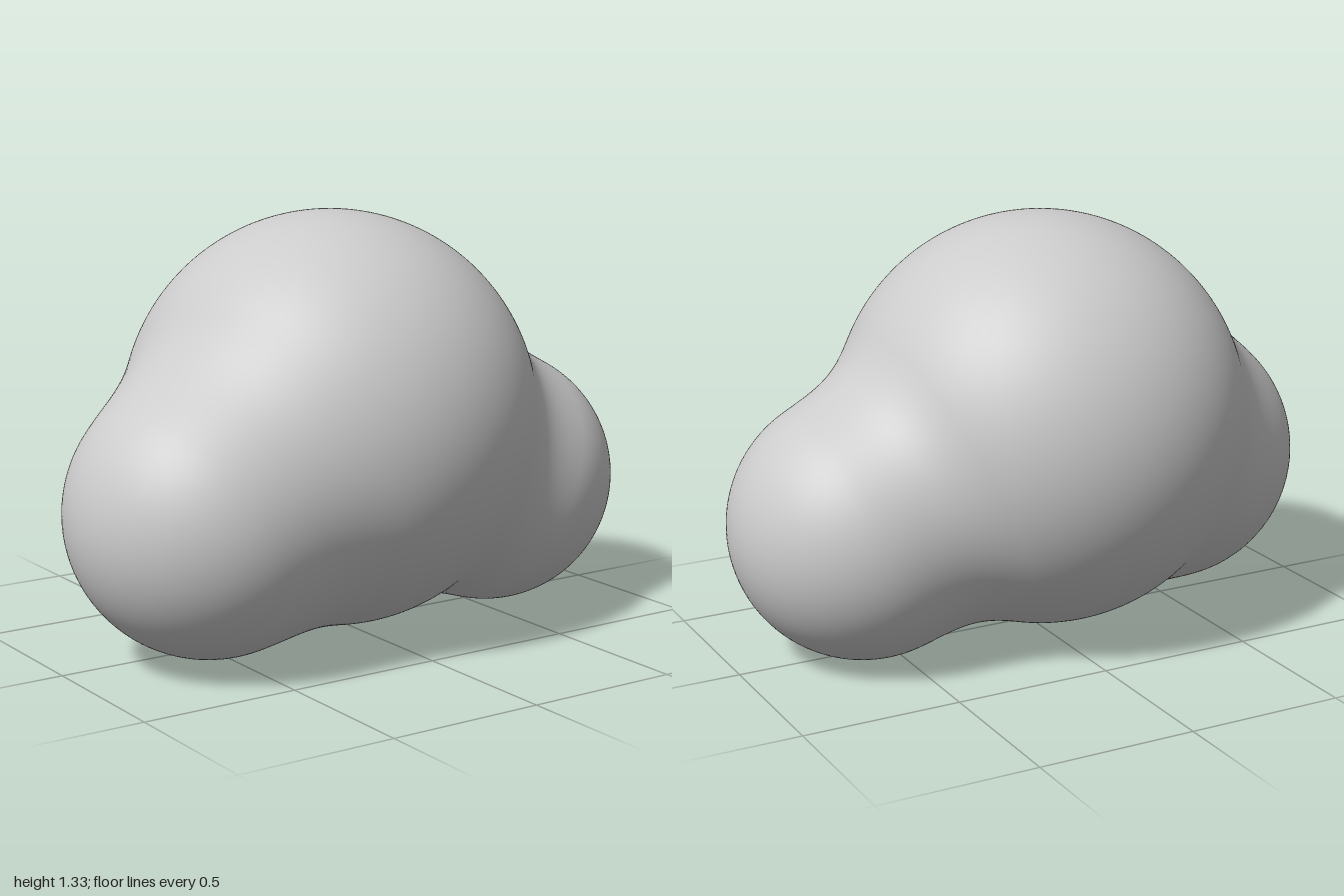
import * as THREE from 'three';

// Three balls melted together: centre and radius
const balls = [
  { c: new THREE.Vector3(-0.04, 0.677, 0), r: 0.656 },
  { c: new THREE.Vector3(0.578, 0.418, 0), r: 0.42 },
  { c: new THREE.Vector3(-0.56, 0.463, 0.125), r: 0.44 },
];
const BLEND = 0.17;

// Rounded union of two distances
function smoothMin(a, b) {
  const h = Math.max(BLEND - Math.abs(a - b), 0);
  return Math.min(a, b) - (h * h) / (4 * BLEND);
}

const field = (p) => balls.map(({ c, r }) => p.distanceTo(c) - r).reduce(smoothMin);

// Outward normal from the slope of the field
function fieldNormal(p) {
  const e = 0.002;
  const slope = (axis) => {
    const a = p.clone(), b = p.clone();
    a[axis] += e;
    b[axis] -= e;
    return field(a) - field(b);
  };
  return new THREE.Vector3(slope('x'), slope('y'), slope('z')).normalize();
}

export function createModel() {
  const group = new THREE.Group();
  group.name = 'blendedBalls';

  // Push every point of a fine sphere out to the blended surface
  const geometry = new THREE.IcosahedronGeometry(1, 48);
  const pos = geometry.attributes.position;
  const nor = geometry.attributes.normal;
  const origin = new THREE.Vector3(0, 0.5, 0.03);
  const dir = new THREE.Vector3();
  const p = new THREE.Vector3();
  for (let i = 0; i < pos.count; i++) {
    dir.fromBufferAttribute(pos, i).normalize();
    let near = 0, far = 1.5;
    for (let step = 0; step < 22; step++) {
      const mid = (near + far) / 2;
      p.copy(origin).addScaledVector(dir, mid);
      if (field(p) < 0) near = mid;
      else far = mid;
    }
    pos.setXYZ(i, p.x, p.y, p.z);
    const n = fieldNormal(p);
    nor.setXYZ(i, n.x, n.y, n.z);
  }

  const body = new THREE.Mesh(geometry, new THREE.MeshStandardMaterial({ color: 0xcccccc }));
  body.name = 'body';
  group.add(body);
  return group;
}
